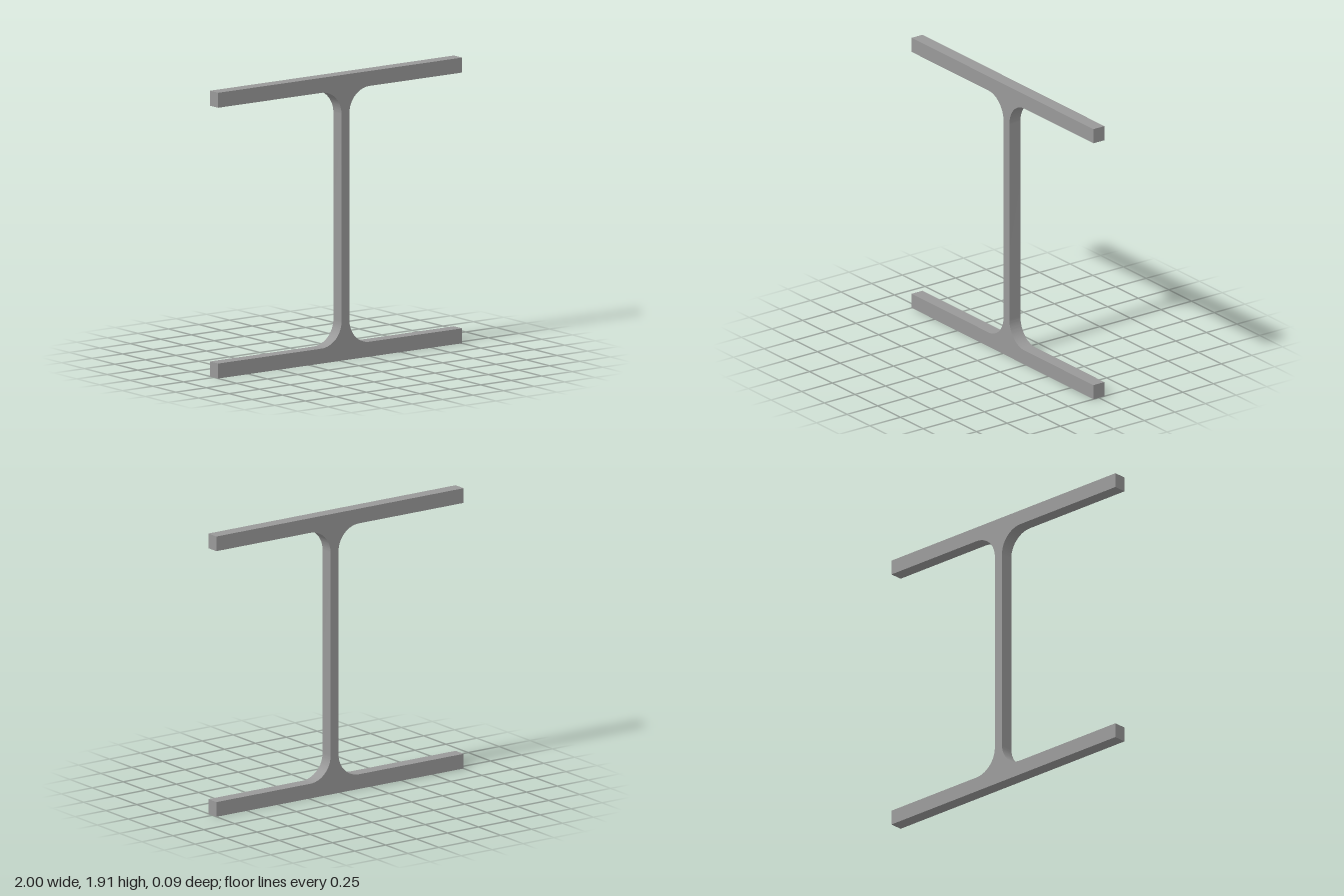
import * as THREE from 'three';
import { toCreasedNormals } from 'three/addons/utils/BufferGeometryUtils.js';

const HEIGHT = 1.91, DEPTH = 0.09, FLANGE = 0.1;
const WEB_LEFT = 0.012, WEB_RIGHT = 0.076, RADIUS = 0.165;

export function createModel() {
  const group = new THREE.Group();
  group.name = 'iBeam';
  const steel = new THREE.MeshStandardMaterial({ color: 0x999999 });
  steel.name = 'steel grey';

  // I-shaped outline, counter-clockwise, with a concave fillet in each inner corner
  const low = FLANGE, high = HEIGHT - FLANGE, r = RADIUS;
  const s = new THREE.Shape();
  s.moveTo(-1, 0);
  s.lineTo(1, 0);
  s.lineTo(1, low);
  s.lineTo(WEB_RIGHT + r, low);
  s.absarc(WEB_RIGHT + r, low + r, r, -Math.PI / 2, -Math.PI, true);
  s.lineTo(WEB_RIGHT, high - r);
  s.absarc(WEB_RIGHT + r, high - r, r, Math.PI, Math.PI / 2, true);
  s.lineTo(1, high);
  s.lineTo(1, HEIGHT);
  s.lineTo(-1, HEIGHT);
  s.lineTo(-1, high);
  s.lineTo(WEB_LEFT - r, high);
  s.absarc(WEB_LEFT - r, high - r, r, Math.PI / 2, 0, true);
  s.lineTo(WEB_LEFT, low + r);
  s.absarc(WEB_LEFT - r, low + r, r, 0, -Math.PI / 2, true);
  s.lineTo(-1, low);
  s.closePath();

  // Thin slice of beam, centred on z = 0
  const extruded = new THREE.ExtrudeGeometry(s, { depth: DEPTH, bevelEnabled: false, curveSegments: 16 });
  extruded.translate(0, 0, -DEPTH / 2);
  const beam = new THREE.Mesh(toCreasedNormals(extruded, 0.5), steel);
  beam.name = 'beamSection';
  group.add(beam);
  return group;
}
